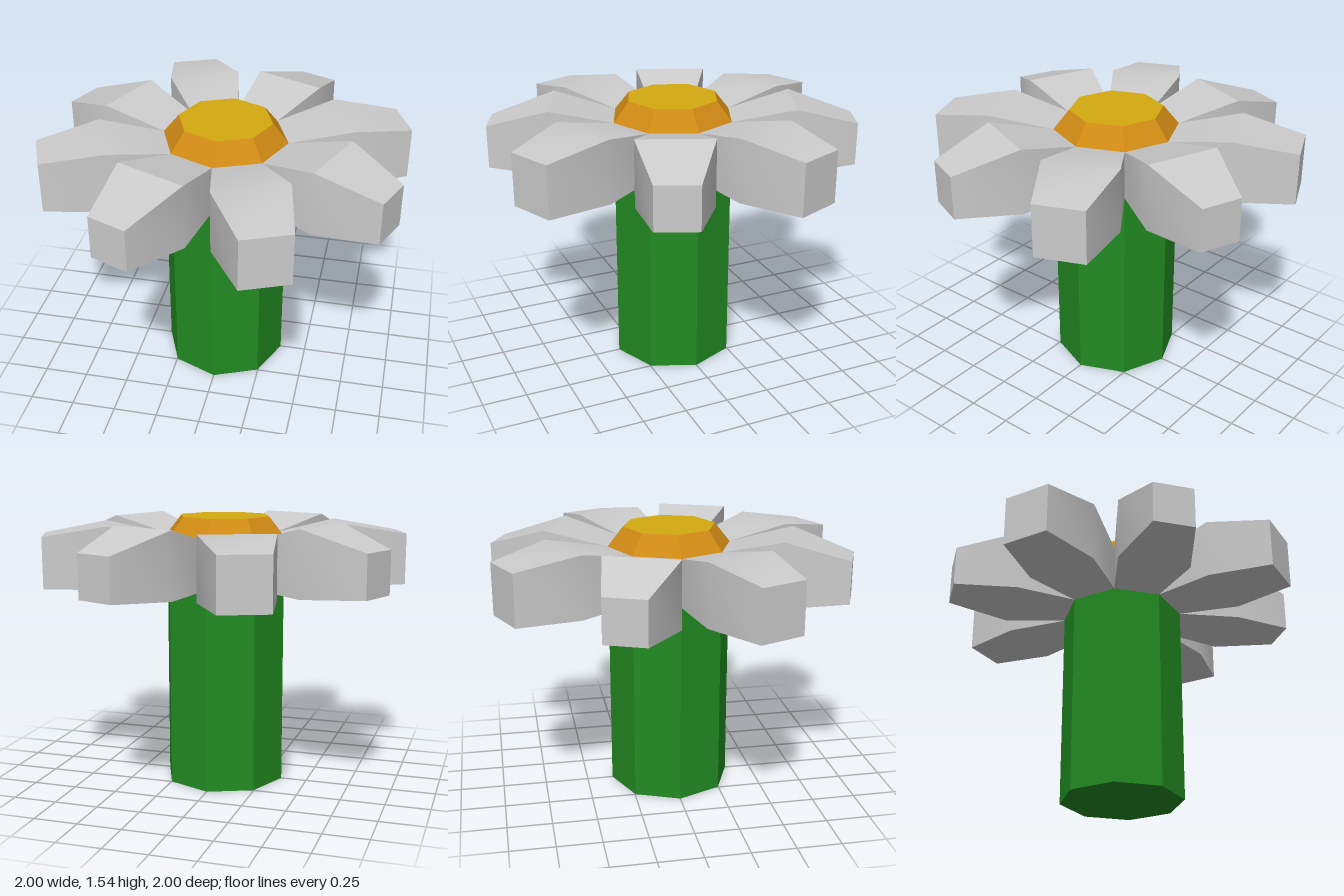
import * as THREE from 'three';
import { toCreasedNormals } from 'three/addons/utils/BufferGeometryUtils.js';

const SIDES = 8, RADIUS = 0.35, PETAL_BASE = 1.43;

// Petal cross-sections running outward along +x: [x, half width, bottom, top]
const ROOT = [RADIUS * Math.cos(Math.PI / SIDES), RADIUS * Math.sin(Math.PI / SIDES), 1.16, PETAL_BASE];
const WIDE = [ROOT, [0.672, 0.206, 1.15, 1.5], [1.025, 0.136, 1.15, 1.44]];
const NARROW = [ROOT, [0.672, 0.206, 1.15, 1.518], [1.023, 0.115, 1.17, 1.41]];

// Lofts the rectangular sections and closes the outer tip
function petalGeometry(sections) {
  const points = [], index = [];
  for (const [x, w, bottom, top] of sections) {
    points.push(x, bottom, w, x, bottom, -w, x, top, -w, x, top, w);
  }
  for (let s = 0; s < sections.length - 1; s++) {
    for (let k = 0; k < 4; k++) {
      const a = s * 4 + k, b = s * 4 + (k + 1) % 4;
      index.push(a, b, b + 4, a, b + 4, a + 4);
    }
  }
  const t = (sections.length - 1) * 4;
  index.push(t, t + 1, t + 2, t, t + 2, t + 3);
  const g = new THREE.BufferGeometry();
  g.setAttribute('position', new THREE.Float32BufferAttribute(points, 3));
  g.setIndex(index);
  return toCreasedNormals(g, THREE.MathUtils.degToRad(30));
}

export function createModel() {
  const model = new THREE.Group();
  model.name = 'flower';

  const add = (name, geometry, color, y = 0) => {
    const material = new THREE.MeshStandardMaterial({ color, flatShading: !name.startsWith('petal') });
    const mesh = new THREE.Mesh(geometry, material);
    mesh.name = name;
    mesh.position.y = y;
    model.add(mesh);
    return mesh;
  };

  // Octagonal stem, hidden inside the petals at its top
  add('stem', new THREE.CylinderGeometry(RADIUS, RADIUS, PETAL_BASE, SIDES), 0x228b22, PETAL_BASE / 2);

  // Bevelled flower centre with a flat top
  const height = 0.11, topRadius = 0.262;
  add('centreBevel', new THREE.CylinderGeometry(topRadius, RADIUS, height, SIDES, 1, true), 0xd08a14, PETAL_BASE + height / 2);
  add('centreTop', new THREE.CircleGeometry(topRadius, SIDES).rotateX(-Math.PI / 2), 0xd4aa10, PETAL_BASE + height);

  // Wide and narrow petals alternate, one on each stem face
  const shapes = [petalGeometry(WIDE), petalGeometry(NARROW)];
  for (let i = 0; i < SIDES; i++) {
    const petal = add(`petal${i + 1}`, shapes[i % 2], 0xcccccc);
    petal.rotation.y = (i + 0.5) * 2 * Math.PI / SIDES;
  }
  return model;
}
